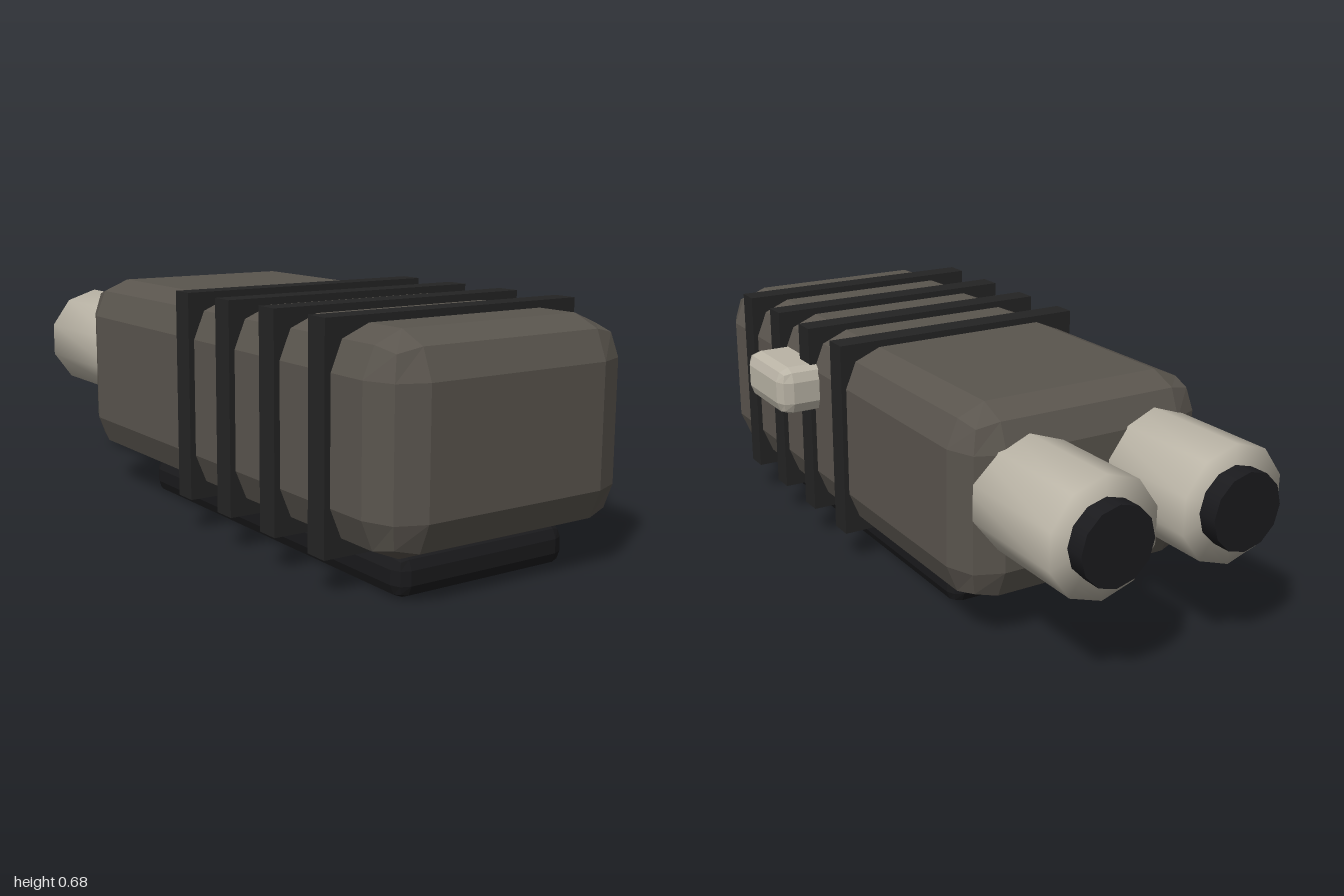
import * as THREE from 'three';
import { RoundedBoxGeometry } from 'three/addons/geometries/RoundedBoxGeometry.js';
import { mergeVertices } from 'three/addons/utils/BufferGeometryUtils.js';

const material = (name, color, flatShading = false) => {
  const m = new THREE.MeshStandardMaterial({ color, flatShading });
  m.name = name;
  return m;
};

export function createModel() {
  const group = new THREE.Group();
  const bodyGrey = material('bodyGrey', 0x5a554e, true);
  const bandBlack = material('bandBlack', 0x242424, true);
  const padBlack = material('padBlack', 0x1a1a1c, true);
  const lensBlack = material('lensBlack', 0x1b1b1e);
  const tubeTan = material('tubeTan', 0xbab4a6);
  const knobTan = material('knobTan', 0xbab4a6, true);

  const add = (name, geometry, mat, x, y, z) => {
    const mesh = new THREE.Mesh(geometry, mat);
    mesh.name = name;
    mesh.position.set(x, y, z);
    group.add(mesh);
    return mesh;
  };

  // Box with two-step bevelled edges
  const bevelBox = (w, h, d, r) => new RoundedBoxGeometry(w, h, d, 1, r);

  // Main housing, foot pad and side knob
  add('body', bevelBox(0.765, 0.545, 1.64, 0.11), bodyGrey, -0.055, 0.383, 0.18);
  add('footPad', bevelBox(0.54, 0.11, 1.265, 0.036), padBlack, -0.055, 0.055, 0.258);
  add('sideKnob', bevelBox(0.18, 0.145, 0.285, 0.04), knobTan, 0.36, 0.493, 0.365);

  // Square grip bands around the housing
  [0.73, 0.51, 0.292, 0.074].forEach((z, i) =>
    add(`gripBand${i + 1}`, new THREE.BoxGeometry(0.796, 0.58, 0.07), bandBlack, -0.056, 0.385, z));

  // Closed cylinder along z with its cap shaded smoothly into its wall
  const softCylinder = (radius, length, sides) => {
    const g = new THREE.CylinderGeometry(radius, radius, length, sides).rotateX(Math.PI / 2);
    g.deleteAttribute('normal');
    g.deleteAttribute('uv');
    const merged = mergeVertices(g, 1e-4);
    merged.computeVertexNormals();
    return merged;
  };

  // Paired rear tubes with their lenses
  [['left', 0.141], ['right', -0.256]].forEach(([side, x]) => {
    add(`${side}Tube`, softCylinder(0.163, 0.5, 10), tubeTan, x, 0.421, -0.695);
    const lens = new THREE.CylinderGeometry(0.107, 0.107, 0.1, 12).rotateX(Math.PI / 2);
    add(`${side}Lens`, lens, lensBlack, x, 0.421, -0.95);
  });

  return group;
}
